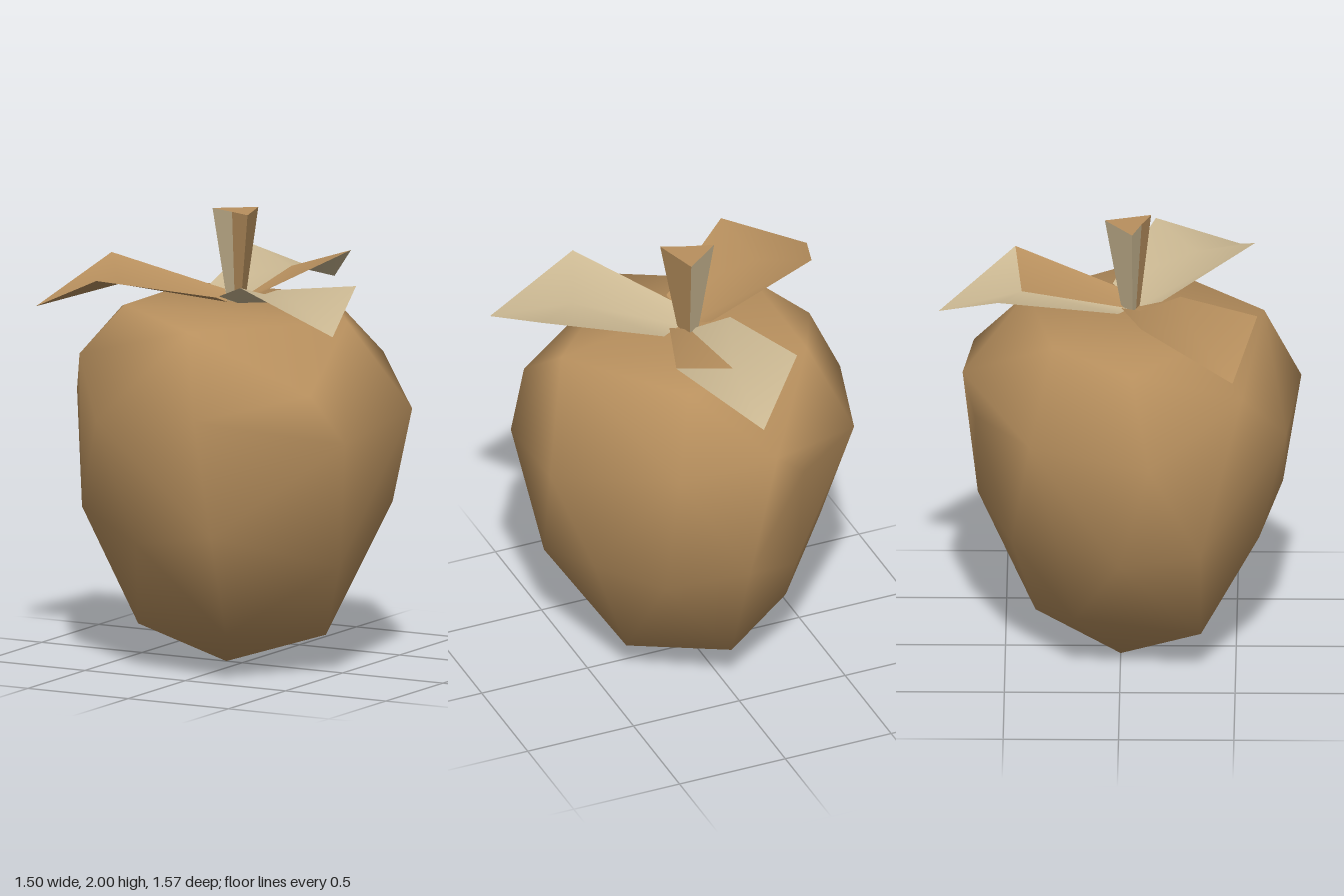
import * as THREE from 'three';
import { mergeVertices } from 'three/addons/utils/BufferGeometryUtils.js';
import { ConvexGeometry } from 'three/addons/geometries/ConvexGeometry.js';

const makeMaterial = (name, color) => new THREE.MeshStandardMaterial({ name, color, side: THREE.DoubleSide });

// Small surface from corner points and triangles, with smooth normals
function surface(points, faces, groups) {
  const g = new THREE.BufferGeometry();
  g.setAttribute('position', new THREE.Float32BufferAttribute(points.flat(), 3));
  g.setIndex(faces.flat());
  for (const [start, count, mat] of groups) g.addGroup(start * 3, count * 3, mat);
  g.computeVertexNormals();
  return g;
}

// Uneven rings of the fruit, each point as x, y, z
const rings = [
  [[-0.08, 0, 0]],
  [[-0.32, 0.2, 0.35], [0.18, 0.21, 0.46], [0.36, 0.14, -0.1], [-0.02, 0.18, -0.37], [-0.35, 0.28, -0.2]],
  [[-0.65, 0.66, 0], [-0.6, 0.69, 0.35], [-0.19, 0.6, 0.6], [0.24, 0.68, 0.7], [0.61, 0.51, 0.22],
    [0.59, 0.72, -0.28], [0.33, 0.64, -0.46], [0, 0.73, -0.62], [-0.28, 0.62, -0.47], [-0.48, 0.7, -0.27]],
  [[-0.75, 1.16, 0.13], [-0.32, 1.15, 0.72], [0.2, 1.2, 0.78], [0.71, 1.08, 0.35], [0.75, 1.16, -0.17],
    [0.34, 1.3, -0.64], [-0.1, 1.34, -0.685], [-0.25, 1.2, -0.63], [-0.59, 1.2, -0.39]],
  [[-0.51, 1.4, 0.53], [0.6, 1.3, 0.46]],
  [[-0.57, 1.53, 0.05], [-0.41, 1.59, 0.31], [0.08, 1.56, 0.62], [0.58, 1.57, 0.1],
    [0.2, 1.58, -0.41], [-0.41, 1.595, -0.29]],
];

export function createModel() {
  const model = new THREE.Group();
  const brown = makeMaterial('brown', 0xb8905e);
  const beige = makeMaterial('beige', 0xcdba94);
  const add = (name, geometry, material, parent = model) => {
    const mesh = new THREE.Mesh(geometry, material);
    mesh.name = name;
    parent.add(mesh);
    return mesh;
  };

  // Fruit
  let fruit = new ConvexGeometry(rings.flat().map((p) => new THREE.Vector3(...p)));
  fruit.deleteAttribute('normal');
  fruit = mergeVertices(fruit, 0.001);
  fruit.computeVertexNormals();
  add('fruit', fruit, brown);

  // Three cupped leaves turned about the stem
  const leafPoints = [
    [-0.17, 1.65, -0.08], [0, 1.6, -0.03], [0.1, 1.64, -0.04], // base
    [-0.26, 1.74, -0.6], [0, 1.68, -0.5], [0.28, 1.77, -0.53], // middle
    [0.01, 1.58, -0.86], // tip
  ];
  const leafFaces = [
    [0, 1, 4], [0, 4, 3], [3, 4, 6], [4, 5, 6], // left half and tip
    [1, 2, 5], [1, 5, 4], // right half
  ];
  const leaves = [
    ['backLeaf', 0, [beige, brown]],
    ['rightLeaf', 1, [brown, brown]],
    ['leftLeaf', -1, [beige, beige]],
  ];
  for (const [name, turn, materials] of leaves) {
    const leaf = add(name, surface(leafPoints, leafFaces, [[0, 4, 0], [4, 2, 1]]), materials);
    leaf.position.z = 0.07;
    leaf.rotation.y = turn * Math.PI * 2 / 3;
  }

  // Three-sided flared stem, its front split between the two colours
  const corners = [[-0.12, 0.05], [0, 0.09], [0.1, 0.13], [0.04, -0.07]];
  const stem = new THREE.Group();
  stem.name = 'stem';
  model.add(stem);
  corners.forEach(([x, z], i) => {
    const [u, w] = corners[(i + 1) % 4];
    const low = (a, b) => [a * 0.4, 1.6, 0.05 + (b - 0.05) * 0.4];
    const side = surface([low(x, z), low(u, w), [u, 2, w], [x, 2, z]], [[0, 1, 2], [0, 2, 3]], []);
    add('stemSide', side, i === 0 || i === 3 ? beige : brown, stem);
  });
  const top = corners.map(([x, z]) => [x, 2, z]);
  add('stemTop', surface(top, [[0, 1, 3], [1, 2, 3]], []), brown, stem);

  return model;
}
